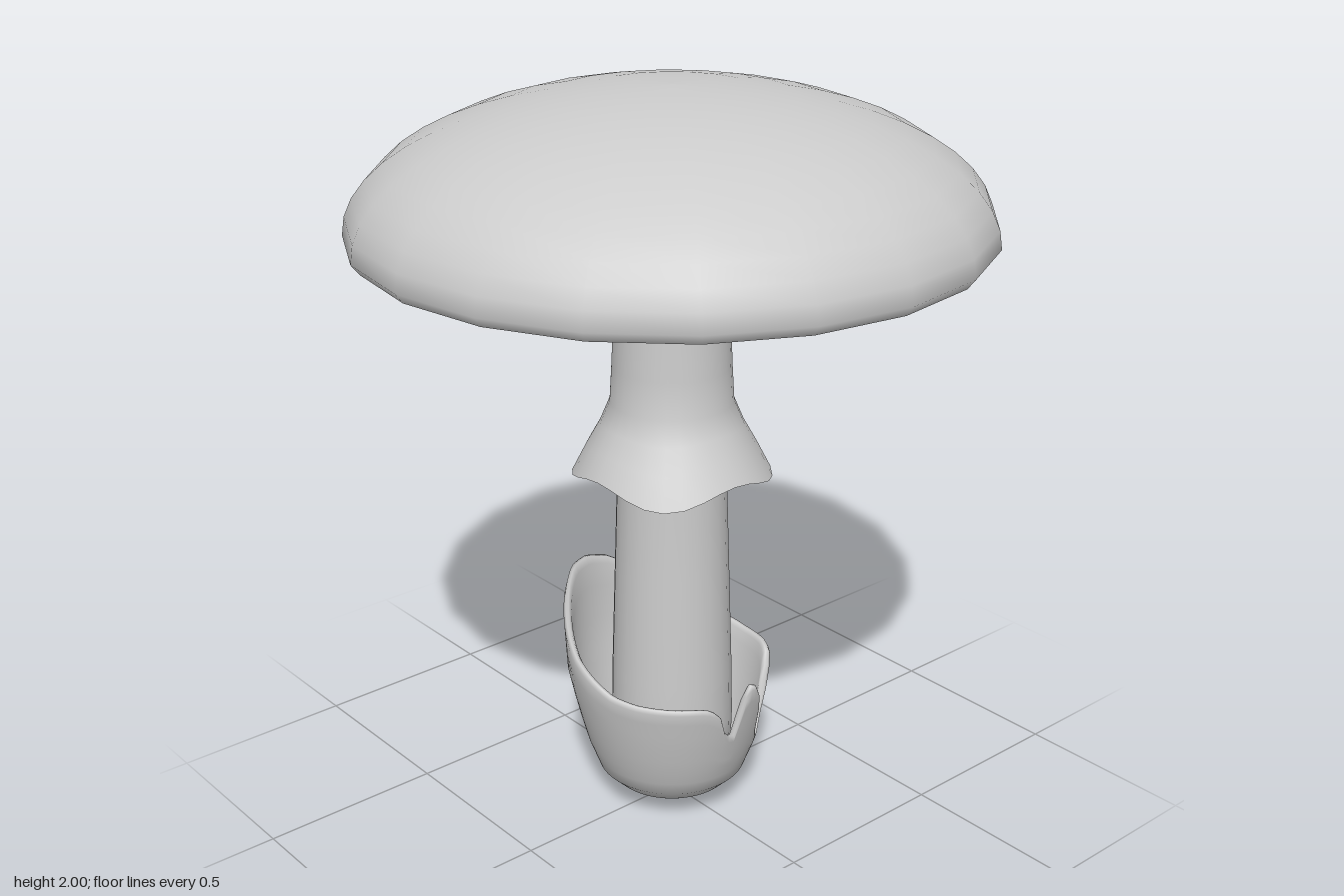
import * as THREE from 'three';

// Piecewise linear lookup in a list of [key, value] pairs
function lookup(keys, x) {
  for (let i = 1; i < keys.length; i++) {
    const [x0, y0] = keys[i - 1], [x1, y1] = keys[i];
    if (x <= x1) return y0 + (y1 - y0) * (x - x0) / (x1 - x0);
  }
  return keys[keys.length - 1][1];
}

// Closed tube of rings: ring(row, angle) gives [radius, height]
function ringSurface(rows, sides, ring) {
  const positions = [], index = [];
  for (let i = 0; i < rows; i++) {
    for (let j = 0; j < sides; j++) {
      const angle = j / sides * Math.PI * 2;
      const [r, y] = ring(i, angle);
      positions.push(r * Math.sin(angle), y, r * Math.cos(angle));
      if (i === rows - 1) continue;
      const a = i * sides + j, b = i * sides + (j + 1) % sides;
      index.push(a, b, a + sides, b, b + sides, a + sides);
    }
  }
  const geometry = new THREE.BufferGeometry();
  geometry.setAttribute('position', new THREE.Float32BufferAttribute(positions, 3));
  geometry.setIndex(index);
  geometry.computeVertexNormals();
  return geometry;
}

const lathe = (points, sides) =>
  new THREE.LatheGeometry(points.map(([x, y]) => new THREE.Vector2(x, y)), sides);

// Torn rim height of the cup by angle in degrees, from the front towards +x
const rim = [[0, 0.28], [4, 0.4], [8, 0.43], [13, 0.42], [18, 0.37], [24, 0.25], [30, 0.21],
  [38, 0.2], [46, 0.2], [52, 0.23], [57, 0.32], [62, 0.39], [70, 0.41], [90, 0.41], [110, 0.425],
  [130, 0.46], [150, 0.52], [165, 0.575], [180, 0.62], [195, 0.645], [210, 0.645], [222, 0.61],
  [236, 0.55], [255, 0.48], [270, 0.45], [285, 0.42], [300, 0.41], [335, 0.4], [342, 0.39],
  [348, 0.36], [353, 0.29], [360, 0.28]];

// Outer radius of the cup by height
const cupRadius = [[0, 0], [0.008, 0.06], [0.03, 0.12], [0.06, 0.165], [0.1, 0.205],
  [0.18, 0.235], [0.28, 0.262], [0.4, 0.288], [0.66, 0.302]];

function cupGeometry() {
  const wall = 0.022, shoulder = 0.18;
  const low = [0, 0.008, 0.03, 0.06, 0.1, 0.14].map(y => ({ y, inset: 0 }));
  const rise = [0, 0.2, 0.4, 0.6, 0.8, 0.95];
  const rows = [
    ...low,
    ...rise.map(t => ({ t, inset: 0 })),
    { t: 1, inset: wall * 0.3 },
    { t: 1, inset: wall * 0.7 },
    ...rise.slice().reverse().map(t => ({ t, inset: wall })),
    { y: 0.12, inset: wall }, { y: 0.08, inset: wall }, { y: 0.05, inset: 0.2 },
  ];
  return ringSurface(rows.length, 90, (i, angle) => {
    const { y, t, inset } = rows[i];
    const top = lookup(rim, THREE.MathUtils.radToDeg(angle));
    const height = t === undefined ? y : THREE.MathUtils.lerp(shoulder, top, t);
    return [Math.max(0, lookup(cupRadius, height) - inset), height];
  });
}

// Skirt with a wavy hem, listed from hem to top
function skirtGeometry() {
  const rows = [[0.258, 0.99, 1], [0.222, 1.06, 0.6], [0.188, 1.12, 0.25], [0.163, 1.18, 0],
    [0.157, 1.28, 0], [0.151, 1.42, 0], [0.147, 1.53, 0], [0.14, 1.57, 0]];
  return ringSurface(rows.length, 32, (i, angle) => {
    const [r, y, wave] = rows[i];
    const c = Math.cos(4 * angle) * wave;
    return [r - 0.008 * c, y + 0.02 * c];
  });
}

export function createModel() {
  const gray = new THREE.MeshStandardMaterial({ color: 0xcccccc });
  gray.name = 'lightGray';
  const grayThin = gray;
  grayThin.side = THREE.DoubleSide;

  const group = new THREE.Group();
  group.name = 'mushroom';
  const add = (name, geometry) => {
    const mesh = new THREE.Mesh(geometry, gray);
    mesh.name = name;
    group.add(mesh);
  };

  // Domed cap with a small turned-in lip
  const cap = [[0.8, 1.612], [0.82, 1.638]];
  for (let i = 1; i <= 12; i++) {
    const a = i / 12 * Math.PI / 2;
    cap.push([i === 12 ? 0 : 0.82 * Math.cos(a), 1.638 + 0.362 * Math.sin(a)]);
  }
  add('cap', lathe(cap, 20));
  add('capUnderside', lathe([[0, 1.612], [0.8, 1.612]], 20));

  // Tapered stem
  add('stem', lathe([[0, 0.05], [0.12, 0.06], [0.165, 0.14], [0.168, 0.25], [0.165, 0.4],
    [0.155, 0.7], [0.145, 1], [0.142, 1.3], [0.143, 1.5], [0.147, 1.62]], 24));

  add('skirt', skirtGeometry());
  add('cup', cupGeometry());
  return group;
}
